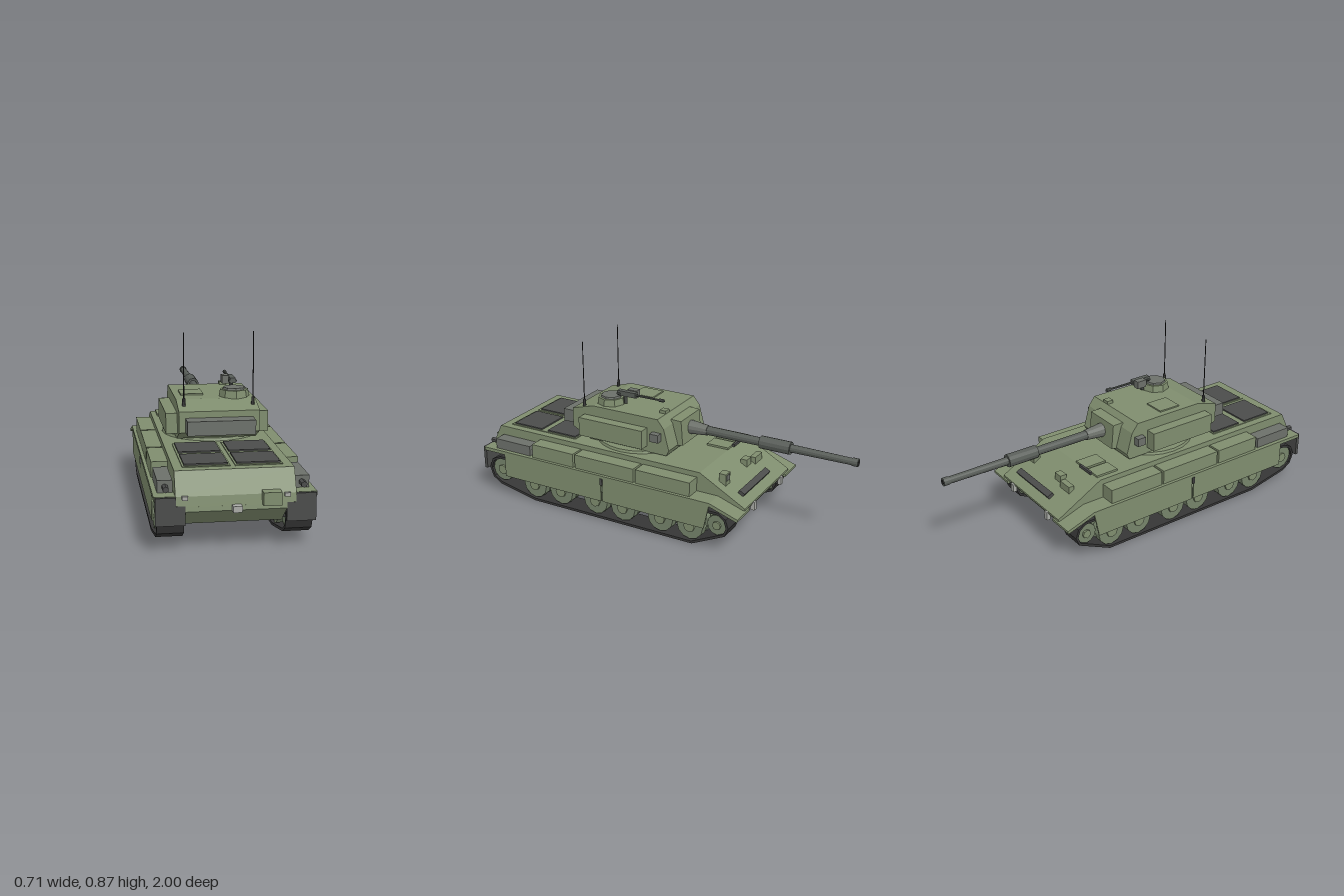
import * as THREE from 'three';

const mat = (name, color) => {
  const m = new THREE.MeshStandardMaterial({ color });
  m.name = name;
  return m;
};

export function createModel() {
  const green = mat('armour green', 0x7f8d6e);
  const dark = mat('dark grey', 0x4b4c4b);
  const grey = mat('mid grey', 0x6c706a);
  const gunGrey = mat('gun grey', 0x585d58);
  const rubber = mat('track black', 0x363636);
  const light = mat('light grey', 0xa9aba6);
  const black = mat('aerial black', 0x222222);
  const wheelGreen = mat('wheel green', 0x75836a);

  const root = new THREE.Group();
  root.name = 'tank';
  const section = (name) => {
    const g = new THREE.Group();
    g.name = name;
    root.add(g);
    return g;
  };
  const add = (parent, name, geo, material) => {
    const m = new THREE.Mesh(geo, material);
    m.name = name;
    parent.add(m);
    return m;
  };
  // Box given by its limits on each axis
  const box = (parent, name, material, x0, x1, y0, y1, z0, z1) => {
    const m = add(parent, name, new THREE.BoxGeometry(Math.abs(x1 - x0), y1 - y0, Math.abs(z1 - z0)), material);
    m.position.set((x0 + x1) / 2, (y0 + y1) / 2, (z0 + z1) / 2);
    return m;
  };
  // Faceted cylinder along x, y or z; rA is the radius at the positive end
  const cyl = (parent, name, material, axis, rA, rB, len, sides, x, y, z) => {
    let g = new THREE.CylinderGeometry(rA, rB, len, sides);
    if (axis === 'x') g.rotateZ(-Math.PI / 2);
    if (axis === 'z') g.rotateX(Math.PI / 2);
    g = g.toNonIndexed();
    g.computeVertexNormals();
    const m = add(parent, name, g, material);
    m.position.set(x, y, z);
    return m;
  };
  // Side profile of [z, y] points, extruded across x0..x1
  const slab = (parent, name, material, pts, x0, x1, hole) => {
    const s = new THREE.Shape(pts.map((p) => new THREE.Vector2(p[0], p[1])));
    if (hole) s.holes.push(new THREE.Path(hole.map((p) => new THREE.Vector2(p[0], p[1]))));
    const g = new THREE.ExtrudeGeometry(s, { depth: x1 - x0, bevelEnabled: false });
    g.rotateY(-Math.PI / 2);
    g.translate(x1, 0, 0);
    return add(parent, name, g, material);
  };
  // Moves a counter-clockwise outline inward by d
  const inset = (pts, d) => pts.map((p, i) => {
    const a = pts[(i + pts.length - 1) % pts.length], b = pts[(i + 1) % pts.length];
    const e = new THREE.Vector2(b[0] - a[0], b[1] - a[1]).normalize();
    return [p[0] - e.y * d, p[1] + e.x * d];
  });

  // Hull
  const hull = section('hull');
  slab(hull, 'upperHull', green,
    [[-0.545, 0.205], [0.962, 0.205], [0.955, 0.25], [0.905, 0.35], [-0.3, 0.35], [-0.545, 0.215]], -0.26, 0.26);
  slab(hull, 'lowerHull', green,
    [[-0.36, 0.1], [0.86, 0.1], [0.965, 0.185], [0.962, 0.206], [-0.545, 0.206], [-0.535, 0.19]], -0.218, 0.218);
  for (const x of [-0.115, 0.115]) {
    box(hull, 'engineDeckPlate', green, x - 0.105, x + 0.105, 0.35, 0.354, 0.45, 0.86);
    for (const z of [0.545, 0.757]) box(hull, 'engineGrille', dark, x - 0.096, x + 0.096, 0.352, 0.361, z - 0.087, z + 0.087);
  }
  cyl(hull, 'turretRing', green, 'y', 0.235, 0.24, 0.014, 24, 0, 0.356, 0.17);

  // Driver hatches and glacis fittings
  for (const x of [-0.19, -0.09]) box(hull, 'driverHatch', green, x - 0.042, x + 0.042, 0.35, 0.36, -0.3, -0.18);
  box(hull, 'hatchHinge', dark, -0.19, -0.095, 0.35, 0.364, -0.312, -0.3);
  const slope = Math.atan2(0.135, 0.245);
  box(hull, 'glacisBar', dark, -0.11, 0.19, 0.245, 0.263, -0.507, -0.475).rotation.x = -slope;
  box(hull, 'headlampBox', green, -0.18, -0.1, 0.275, 0.315, -0.43, -0.4);
  box(hull, 'headlampBox', green, -0.08, -0.03, 0.28, 0.325, -0.415, -0.38);
  box(hull, 'periscope', green, 0.165, 0.212, 0.285, 0.345, -0.418, -0.38);
  box(hull, 'periscopeGlass', grey, 0.172, 0.205, 0.308, 0.338, -0.421, -0.417);
  for (const x of [-0.16, 0.16]) box(hull, 'frontTowEye', light, x - 0.012, x + 0.012, 0.17, 0.213, -0.555, -0.535);

  // Rear fittings
  box(hull, 'rearLocker', green, 0.11, 0.19, 0.207, 0.265, 0.94, 0.995);
  box(hull, 'towHitch', light, -0.02, 0.02, 0.183, 0.21, 0.95, 0.995);
  for (const x of [-0.22, 0.22]) box(hull, 'tailLight', light, x - 0.013, x + 0.013, 0.236, 0.253, 0.94, 0.968);

  // Running gear and fenders, mirrored
  const outline = [[-0.3, 0], [0.64, 0], [0.865, 0.047], [0.915, 0.078], [0.934, 0.13], [0.915, 0.182],
    [0.86, 0.207], [-0.44, 0.203], [-0.482, 0.175], [-0.497, 0.13], [-0.478, 0.085]];
  for (const s of [-1, 1]) {
    const side = section(s > 0 ? 'leftRunningGear' : 'rightRunningGear');
    const sideBox = (name, m, x0, x1, ...r) => box(side, name, m, s * x0, s * x1, ...r);
    const sideSlab = (name, m, pts, x0, x1, hole) =>
      slab(side, name, m, pts, s > 0 ? x0 : -x1, s > 0 ? x1 : -x0, hole);

    sideSlab('track', rubber, outline, 0.22, 0.338, inset(outline, 0.013));
    const wheel = (name, z, y, r, sides) => {
      for (const x of [0.25, 0.308]) {
        cyl(side, name, wheelGreen, 'x', r * (x > 0.3 && s < 0 ? 1 : 0.96), r, 0.036, sides, s * x, y, z);
      }
      cyl(side, name + 'Axle', dark, 'x', r * 0.35, r * 0.35, 0.11, 8, s * 0.265, y, z);
      cyl(side, name + 'Hub', green, 'x', r * 0.4, r * 0.4, 0.016, 8, s * 0.328, y, z);
    };
    for (const z of [0.645, 0.478, 0.264, 0.1, -0.117, -0.283]) wheel('roadWheel', z, 0.088, 0.074, 12);
    wheel('driveSprocket', 0.853, 0.13, 0.066, 12);
    wheel('idlerWheel', -0.432, 0.13, 0.055, 12);

    // Fender with drooping front and skirt panels
    sideSlab('fender', green,
      [[-0.55, 0.188], [-0.545, 0.185], [-0.4, 0.232], [0.95, 0.232], [0.95, 0.25], [-0.4, 0.25], [-0.55, 0.2]], 0.215, 0.352);
    sideSlab('frontSkirt', green, [[-0.4, 0.25], [-0.37, 0.107], [0.205, 0.107], [0.205, 0.25]], 0.343, 0.35);
    sideBox('rearSkirt', green, 0.343, 0.35, 0.107, 0.25, 0.215, 0.82);
    sideBox('skirtBracket', dark, 0.345, 0.356, 0.2, 0.235, 0.203, 0.217);
    sideBox('mudFlap', dark, 0.218, 0.346, 0.125, 0.21, 0.945, 0.962);
    sideBox('mudFlapTop', dark, 0.258, 0.346, 0.21, 0.248, 0.945, 0.962);

    // Stowage boxes and exhaust
    for (const [z0, z1] of [[-0.285, 0.018], [0.03, 0.378], [0.39, 0.645]]) {
      sideBox('stowageBox', green, 0.258, 0.336, 0.25, 0.323, z0, z1);
    }
    sideBox('exhaustSilencer', grey, 0.265, 0.331, 0.25, 0.304, 0.665, 0.885);
    cyl(side, 'exhaustPipe', dark, 'z', 0.014, 0.014, 0.06, 6, s * 0.298, 0.276, 0.905);
  }

  // Turret
  const turret = section('turret');
  slab(turret, 'turretBody', green, [[-0.075, 0.36], [0.375, 0.36], [0.48, 0.41], [0.48, 0.51],
    [0.355, 0.545], [-0.025, 0.545], [-0.06, 0.5], [-0.09, 0.39]], -0.19, 0.19);
  slab(turret, 'mantlet', green, [[-0.118, 0.39], [-0.05, 0.38], [-0.05, 0.52], [-0.108, 0.518]], -0.098, 0.098);
  for (const s of [-1, 1]) {
    box(turret, 'sideBin', green, s * 0.188, s * 0.244, 0.392, 0.49, 0.035, 0.408);
    box(turret, 'sightBox', grey, s * 0.188, s * 0.222, 0.433, 0.475, -0.045, 0.003);
  }
  box(turret, 'rearBin', grey, -0.16, 0.158, 0.413, 0.48, 0.478, 0.56);
  box(turret, 'loaderHatch', green, -0.157, -0.047, 0.543, 0.552, 0.14, 0.26);
  box(turret, 'roofSight', green, 0.07, 0.106, 0.535, 0.561, -0.025, 0.01);
  for (const x of [-0.16, 0.168]) {
    cyl(turret, 'aerialBase', dark, 'y', 0.007, 0.009, 0.04, 8, x, 0.542, 0.42);
    cyl(turret, 'aerial', black, 'y', 0.0022, 0.0028, 0.31, 6, x, 0.717, 0.42);
  }

  // Cupola and machine gun
  const cupola = section('cupola');
  cyl(cupola, 'cupolaRing', green, 'y', 0.068, 0.074, 0.037, 8, 0.097, 0.561, 0.3);
  cyl(cupola, 'cupolaHatch', grey, 'y', 0.053, 0.056, 0.01, 8, 0.097, 0.584, 0.3);
  cyl(cupola, 'gunPost', gunGrey, 'y', 0.01, 0.01, 0.06, 8, 0.097, 0.585, 0.215);
  box(cupola, 'gunReceiver', gunGrey, 0.086, 0.112, 0.597, 0.623, 0.15, 0.255);
  box(cupola, 'gunGrip', gunGrey, 0.078, 0.119, 0.604, 0.612, 0.235, 0.255);
  box(cupola, 'ammoBox', grey, 0.054, 0.087, 0.588, 0.627, 0.155, 0.21);
  cyl(cupola, 'machineGunBarrel', gunGrey, 'z', 0.006, 0.005, 0.17, 8, 0.099, 0.61, 0.07);
  cyl(cupola, 'machineGunMuzzle', gunGrey, 'z', 0.009, 0.009, 0.025, 8, 0.099, 0.61, 0.003);

  // Main gun, from mantlet to muzzle
  const gun = section('mainGun');
  const tube = (name, m, rBack, rFront, zBack, zFront) =>
    cyl(gun, name, m, 'z', rBack, rFront, zBack - zFront, 12, 0, 0.456, (zBack + zFront) / 2);
  tube('gunCollar', grey, 0.037, 0.026, -0.1, -0.21);
  tube('gunBarrelRear', gunGrey, 0.023, 0.021, -0.2, -0.51);
  tube('boreEvacuator', gunGrey, 0.032, 0.032, -0.5, -0.66);
  tube('gunBarrelFront', gunGrey, 0.02, 0.017, -0.65, -0.98);
  tube('muzzleRing', gunGrey, 0.02, 0.02, -0.97, -1);
  tube('bore', black, 0.011, 0.011, -0.99, -1.001);

  return root;
}
